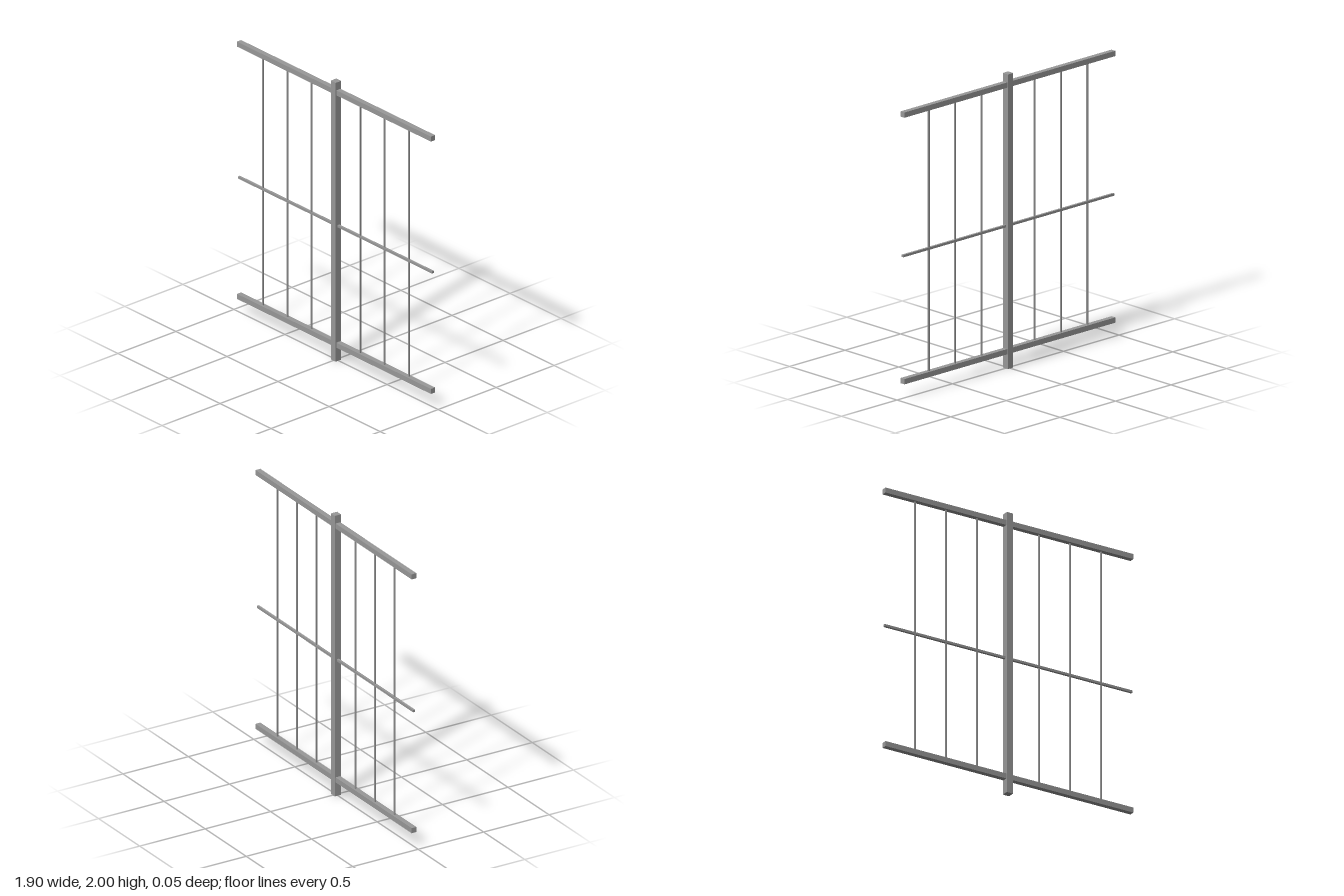
import * as THREE from 'three';

export function createModel() {
  const model = new THREE.Group();
  model.name = 'railingPanel';
  const metal = new THREE.MeshStandardMaterial({ color: 0x999999 });
  metal.name = 'grey metal';

  const addBox = (name, w, h, d, x, y) => {
    const mesh = new THREE.Mesh(new THREE.BoxGeometry(w, h, d), metal);
    mesh.name = name;
    mesh.position.set(x, y, 0);
    model.add(mesh);
  };

  const post = 0.048, halfSpan = 0.95;
  const railSize = 0.036, topY = 1.927, bottomY = 0.117, middleY = 0.967;

  // Central square post
  addBox('post', post, 2, post, 0, 1);

  for (const [side, label] of [[1, 'left'], [-1, 'right']]) {
    // Horizontal rails, butted against the post
    const length = halfSpan - post / 2;
    const x = side * (halfSpan + post / 2) / 2;
    addBox(`${label}TopRail`, length, railSize, railSize, x, topY);
    addBox(`${label}MiddleRail`, length, 0.016, 0.016, x, middleY);
    addBox(`${label}BottomRail`, length, railSize, railSize, x, bottomY);

    // Thin vertical bars between top and bottom rails
    for (let i = 1; i <= 3; i++) {
      addBox(`${label}Bar${i}`, 0.0095, topY - bottomY - railSize, 0.0095,
        side * i * 0.238, (topY + bottomY) / 2);
    }
  }
  return model;
}
